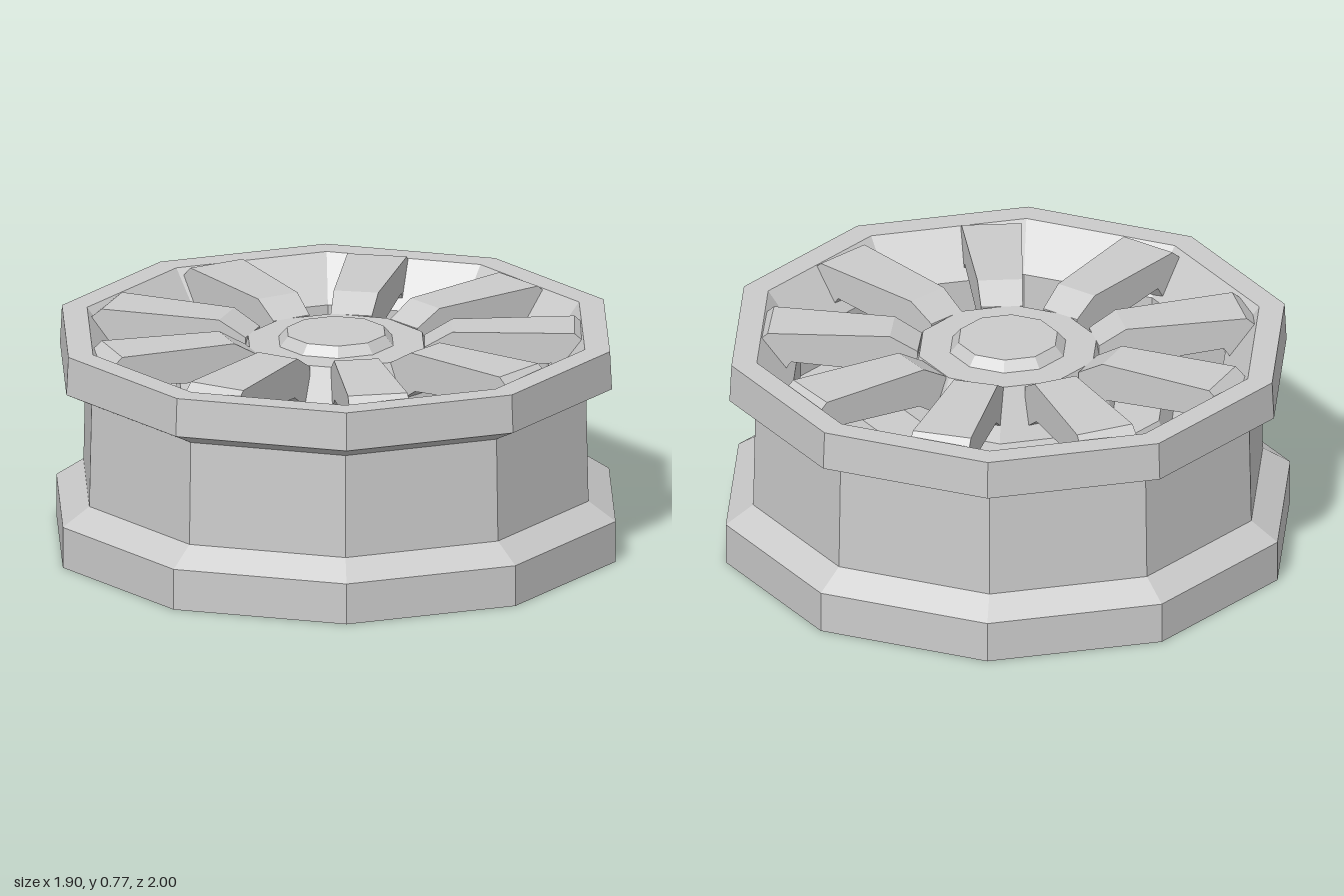
import * as THREE from 'three';

const SIDES = 10;
const SPOKES = 9;
const material = new THREE.MeshStandardMaterial({ color: 0xcccccc, flatShading: true });

// Ten-sided turned part from [radius, height] pairs
function turned(name, profile) {
  const points = profile.map(([r, y]) => new THREE.Vector2(r, y));
  const mesh = new THREE.Mesh(new THREE.LatheGeometry(points, SIDES), material);
  mesh.name = name;
  return mesh;
}

// Spoke: side profile along x, made wider towards the rim
function spokeGeometry() {
  const shape = new THREE.Shape([
    [0.3, 0.55], [0.42, 0.63], [0.74, 0.66], [0.78, 0.6], [0.86, 0.62],
    [0.875, 0.72], [0.82, 0.768], [0.4, 0.765], [0.305, 0.71],
  ].map(([r, y]) => new THREE.Vector2(r, y)));
  const geometry = new THREE.ExtrudeGeometry(shape, { depth: 2, bevelEnabled: false });
  const pos = geometry.attributes.position;
  for (let i = 0; i < pos.count; i++) {
    const half = 0.053 + 0.062 * pos.getX(i);
    pos.setZ(i, (pos.getZ(i) - 1) * half);
  }
  geometry.computeVertexNormals();
  return geometry;
}

export function createModel() {
  const wheel = new THREE.Group();
  wheel.name = 'wheel';

  // Rim with recessed back plate, two flanges, barrel and inner well
  wheel.add(turned('rim', [
    [0, 0.1], [0.91, 0.1], [0.91, 0], [1, 0], [1, 0.145], [0.903, 0.21],
    [0.895, 0.575], [0.987, 0.62], [0.98, 0.755], [0.89, 0.755],
    [0.77, 0.6], [0.77, 0.45], [0, 0.45],
  ]));

  // Disc behind the spokes, hub and centre cap
  wheel.add(turned('brakeDisc', [[0.595, 0.45], [0.56, 0.53], [0, 0.53]]));
  wheel.add(turned('hub', [[0.39, 0.53], [0.315, 0.71], [0, 0.71]]));
  wheel.add(turned('centreCap', [[0.205, 0.71], [0.175, 0.745], [0, 0.745]]));

  // Spokes around the hub
  const geometry = spokeGeometry();
  const spokes = new THREE.Group();
  spokes.name = 'spokes';
  for (let i = 0; i < SPOKES; i++) {
    const spoke = new THREE.Mesh(geometry, material);
    spoke.name = 'spoke';
    spoke.rotation.y = -THREE.MathUtils.degToRad(2) - (i * 2 * Math.PI) / SPOKES;
    spokes.add(spoke);
  }
  wheel.add(spokes);
  return wheel;
}
